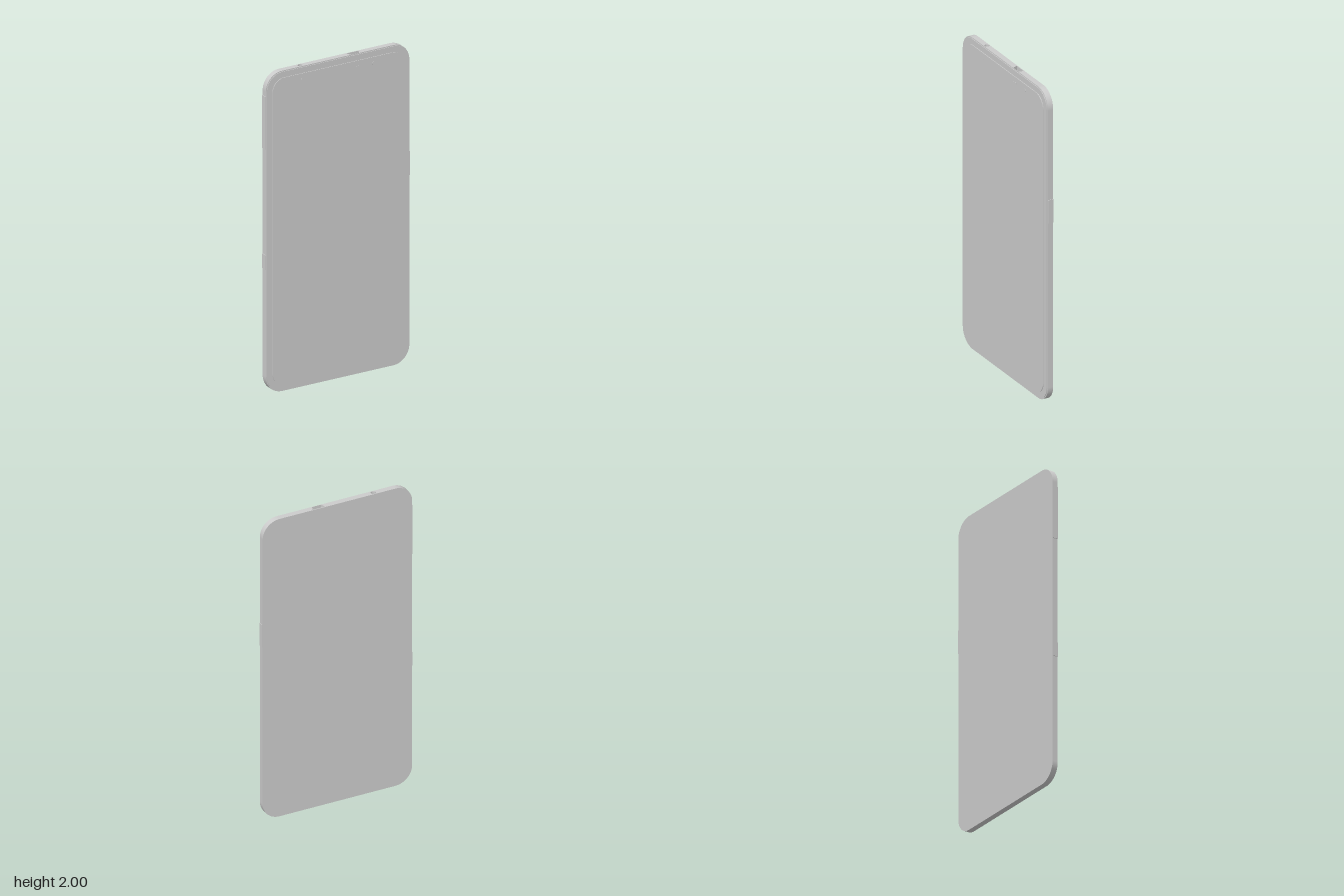
import * as THREE from 'three';

const material = new THREE.MeshStandardMaterial({ color: 0xcccccc });

// Rounded rectangle outline centred on (0, 1), with optional notches [x0, x1, depth] in its top edge
function slabShape(halfW, halfH, r, notches = []) {
  const s = new THREE.Shape();
  const b = 1 - halfH, t = 1 + halfH;
  s.moveTo(-halfW + r, b);
  s.lineTo(halfW - r, b);
  s.absarc(halfW - r, b + r, r, -Math.PI / 2, 0);
  s.absarc(halfW - r, t - r, r, 0, Math.PI / 2);
  for (const [x0, x1, d] of notches) {
    s.lineTo(x1, t);
    s.lineTo(x1, t - d);
    s.lineTo(x0, t - d);
    s.lineTo(x0, t);
  }
  s.absarc(-halfW + r, t - r, r, Math.PI / 2, Math.PI);
  s.absarc(-halfW + r, b + r, r, Math.PI, Math.PI * 1.5);
  return s;
}

function slab(shape, z0, z1) {
  const g = new THREE.ExtrudeGeometry(shape, { depth: z1 - z0, bevelEnabled: false, curveSegments: 16 });
  return g.translate(0, 0, z0);
}

export function createModel() {
  const model = new THREE.Group();
  const add = (name, geometry, x = 0, y = 0, z = 0) => {
    const mesh = new THREE.Mesh(geometry, material);
    mesh.name = name;
    mesh.position.set(x, y, z);
    model.add(mesh);
    return mesh;
  };

  const back = -0.023, front = 0.013, depth = 0.03;
  const audio = [-0.27, -0.214, depth], data = [0.06, 0.18, depth];

  // Main body, notched where the two sockets sit
  add('body', slab(slabShape(0.485, 1, 0.11, [data, audio]), back, front));

  // Front glass and the raised screen on it
  add('frontGlass', slab(slabShape(0.479, 0.994, 0.104), front, 0.017));
  add('screen', slab(slabShape(0.443, 0.958, 0.08), 0.017, 0.021));

  // Socket blocks fill the notches; each has a hole open to the top
  const socket = (name, [x0, x1], hole) => {
    const s = new THREE.Shape([
      new THREE.Vector2(x0, -front), new THREE.Vector2(x1, -front),
      new THREE.Vector2(x1, -back), new THREE.Vector2(x0, -back),
    ]);
    s.holes.push(hole);
    const g = new THREE.ExtrudeGeometry(s, { depth, bevelEnabled: false, curveSegments: 12 });
    add(name, g.rotateX(-Math.PI / 2), 0, 2 - depth, 0);
  };
  const round = new THREE.Path();
  round.absarc(-0.242, 0.005, 0.015, 0, Math.PI * 2, true);
  socket('audioSocket', audio, round);
  const trapezoid = new THREE.Path([
    new THREE.Vector2(0.078, 0.018), new THREE.Vector2(0.158, 0.018),
    new THREE.Vector2(0.148, -0.011), new THREE.Vector2(0.088, -0.011),
    new THREE.Vector2(0.078, 0.018),
  ]);
  socket('dataSocket', data, trapezoid);

  // Side buttons: [name, side, bottom, top]
  const buttons = [
    ['powerButton', 1, 1.165, 1.315],
    ['volumeButton', -1, 1.53, 1.86],
    ['shortcutButton', -1, 0.78, 0.87],
  ];
  for (const [name, side, y0, y1] of buttons) {
    add(name, new THREE.BoxGeometry(0.012, y1 - y0, 0.032), side * 0.483, (y0 + y1) / 2, -0.005);
  }

  // Small sensors and earpiece near the top of the screen
  for (const [name, x] of [['frontCamera', -0.242], ['lightSensor', 0.24]]) {
    add(name, new THREE.CylinderGeometry(0.01, 0.01, 0.003, 20).rotateX(Math.PI / 2), x, 1.92, 0.0208);
  }
  add('earpiece', new THREE.BoxGeometry(0.03, 0.01, 0.003), 0.125, 1.92, 0.0208);

  return model;
}
